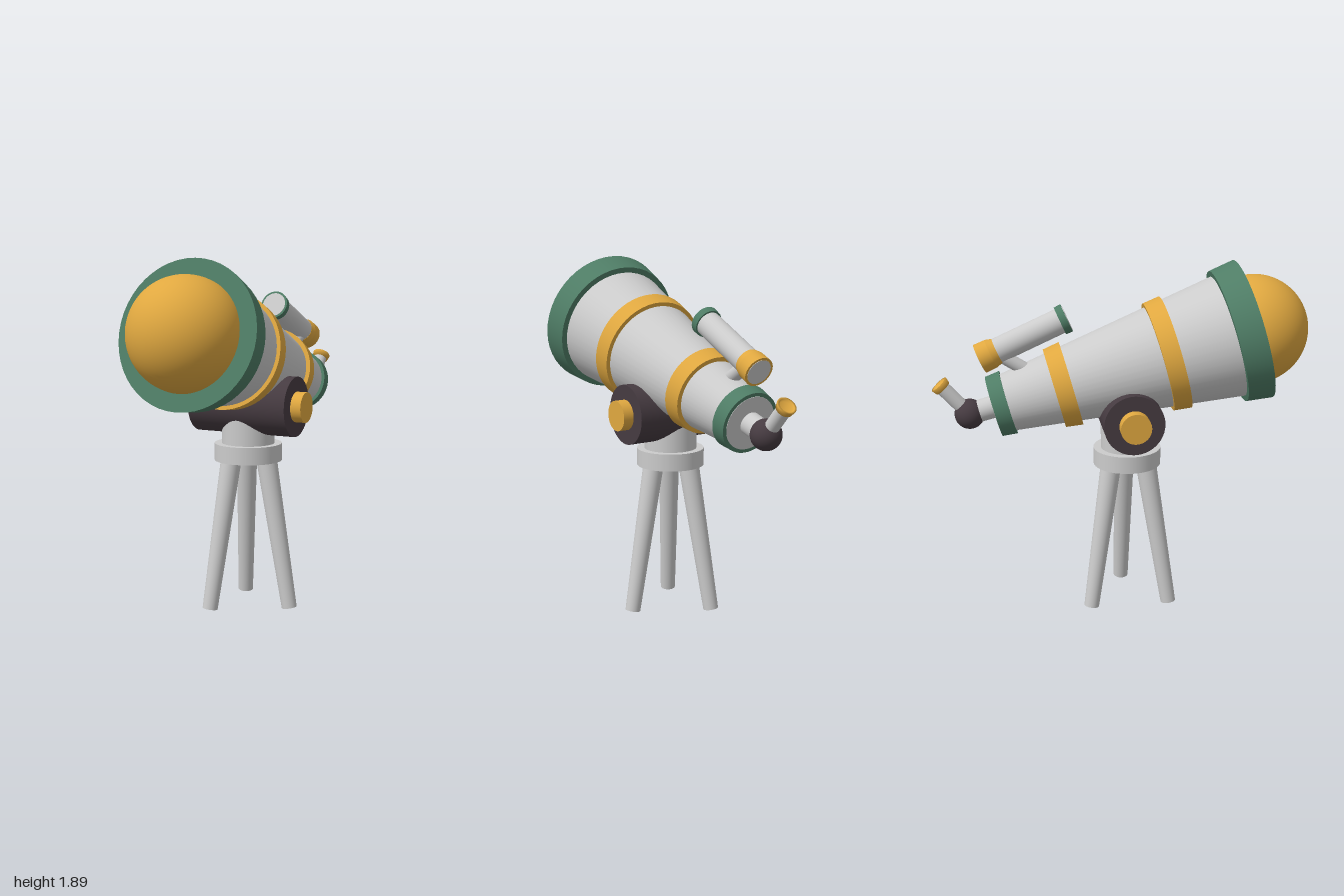
import * as THREE from 'three';

const mat = (color) => new THREE.MeshStandardMaterial({ color });
const Y_AXIS = new THREE.Vector3(0, 1, 0);

export function createModel() {
  const root = new THREE.Group();
  const grey = mat(0xcccccc), gold = mat(0xe0a840), green = mat(0x4f7d66), dark = mat(0x463b41);

  const add = (parent, name, geometry, material) => {
    const mesh = new THREE.Mesh(geometry, material);
    mesh.name = name;
    parent.add(mesh);
    return mesh;
  };
  // Tapered round bar from point a (radius ra) to point b (radius rb)
  const rod = (parent, name, a, b, ra, rb, material) => {
    const from = new THREE.Vector3(...a), dir = new THREE.Vector3(...b).sub(from);
    const mesh = add(parent, name, new THREE.CylinderGeometry(rb, ra, dir.length(), 48), material);
    mesh.position.copy(from).addScaledVector(dir, 0.5);
    mesh.quaternion.setFromUnitVectors(Y_AXIS, dir.normalize());
    return mesh;
  };
  // Group whose local +y runs forward along a tube raised by `degrees`
  const tilted = (name, y, z, degrees) => {
    const group = new THREE.Group();
    group.name = name;
    group.position.set(0, y, z);
    group.rotation.x = THREE.MathUtils.degToRad(90 - degrees);
    root.add(group);
    return group;
  };
  const section = (parent, name, t0, t1, r0, r1, material) =>
    rod(parent, name, [0, t0, 0], [0, t1, 0], r0, r1, material);

  // Tripod
  const cz = 0.027;
  const tripod = new THREE.Group();
  tripod.name = 'tripod';
  tripod.position.z = cz;
  root.add(tripod);
  for (let i = 0; i < 3; i++) {
    const a = i * Math.PI * 2 / 3, c = Math.cos(a), s = Math.sin(a);
    rod(tripod, 'leg', [0.248 * c, 0.007, 0.248 * s], [0.107 * c, 0.83, 0.107 * s], 0.041, 0.056, grey);
  }
  rod(tripod, 'tripodPlate', [0, 0.802, 0], [0, 0.895, 0], 0.182, 0.182, grey);
  rod(tripod, 'neck', [0, 0.88, 0], [0, 1.1, 0], 0.142, 0.142, grey);

  // Cross cradle and its axle
  rod(root, 'cradle', [-0.284, 1.106, cz], [0.284, 1.106, cz], 0.16, 0.16, dark);
  rod(root, 'axle', [-0.342, 1.106, cz], [0.342, 1.106, cz], 0.081, 0.081, gold);

  // Main tube with its bands, lens and focuser
  const tube = tilted('mainTube', 1.337, 0, 15);
  section(tube, 'barrel', -0.71, 0.7, 0.143, 0.346, grey);
  section(tube, 'frontRing', 0.586, 0.725, 0.36, 0.38, green);
  section(tube, 'frontBand', 0.2, 0.294, 0.296, 0.308, gold);
  section(tube, 'rearBand', -0.375, -0.283, 0.214, 0.228, gold);
  section(tube, 'rearRing', -0.708, -0.629, 0.163, 0.172, green);
  add(tube, 'lens', new THREE.SphereGeometry(0.29, 64, 40), gold).position.y = 0.732;
  section(tube, 'focuser', -0.84, -0.7, 0.058, 0.06, grey);
  add(tube, 'focuserBall', new THREE.SphereGeometry(0.08, 40, 28), dark).position.y = -0.841;

  // Eyepiece rising from the ball, with a dished cap
  const eyepiece = tilted('eyepiece', 1.117, -0.812, 0);
  eyepiece.rotation.x = -THREE.MathUtils.degToRad(42);
  section(eyepiece, 'eyepieceTube', 0, 0.21, 0.038, 0.038, grey);
  const cap = [[0, 0.2], [0.045, 0.2], [0.051, 0.23], [0.04, 0.23], [0.035, 0.217], [0, 0.217]];
  add(eyepiece, 'eyepieceCap', new THREE.LatheGeometry(cap.map((p) => new THREE.Vector2(...p)), 40), gold);

  // Finder scope and its strut
  const finder = tilted('finderScope', 1.4175, -0.748, 24);
  section(finder, 'finderTube', -0.002, 0.502, 0.067, 0.067, grey);
  section(finder, 'finderFrontRing', 0.462, 0.5, 0.076, 0.078, green);
  section(finder, 'finderRearRing', 0, 0.065, 0.08, 0.078, gold);
  section(finder, 'finderRearCollar', 0.065, 0.1, 0.078, 0.068, gold);
  rod(root, 'finderStrut', [0, 1.31, -0.45], [0, 1.42, -0.62], 0.036, 0.036, grey);

  return root;
}
